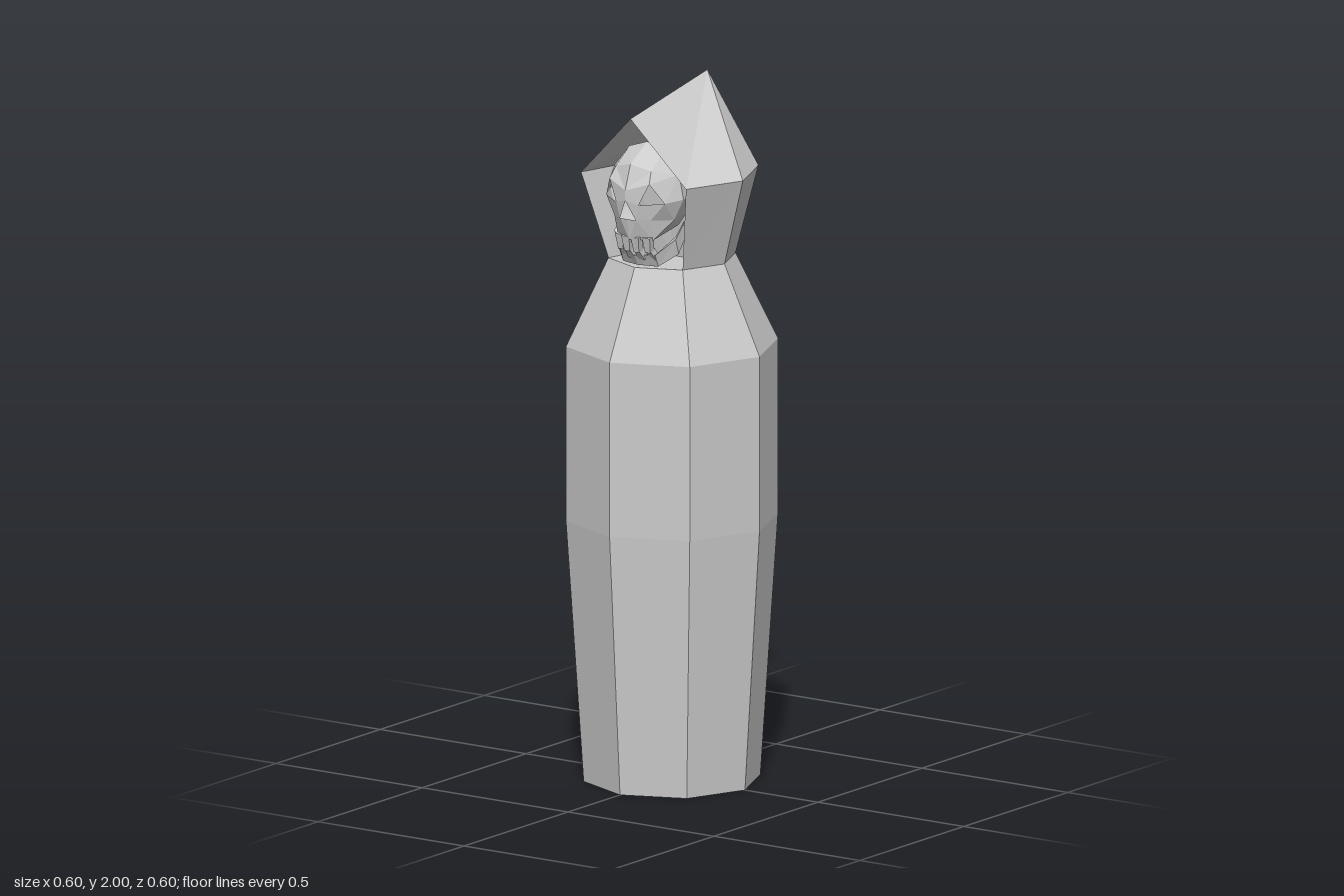
import * as THREE from 'three';

const mat = new THREE.MeshStandardMaterial({ color: 0xcccccc, flatShading: true, side: THREE.DoubleSide });

function part(name, geometry) {
  const mesh = new THREE.Mesh(geometry, mat);
  mesh.name = name;
  return mesh;
}

// Faceted surface from the +x half: faces are fanned, then mirrored to -x
function mirrored(points, faces) {
  const pos = [];
  for (const f of faces) {
    for (let i = 1; i < f.length - 1; i++) {
      const tri = [f[0], f[i], f[i + 1]].map(k => points[k]);
      for (const p of tri) pos.push(...p);
      for (const p of tri.reverse()) pos.push(-p[0], p[1], p[2]);
    }
  }
  const g = new THREE.BufferGeometry();
  g.setAttribute('position', new THREE.Float32BufferAttribute(pos, 3));
  g.computeVertexNormals();
  return g;
}

// Tapered tooth: a four-sided box, narrower at its tip
function tooth(name, x, y, z, w, h, tip, tilt) {
  const g = new THREE.BoxGeometry(w, h, 0.02);
  const p = g.attributes.position;
  for (let i = 0; i < p.count; i++) {
    if (p.getY(i) * tip > 0) p.setX(i, p.getX(i) * 0.65);
  }
  const m = part(name, g);
  m.position.set(x, y, z);
  m.rotation.x = tilt;
  return m;
}

export function createModel() {
  const model = new THREE.Group();
  model.name = 'hoodedFigure';

  // Eight-sided robe, closed below and at the neck
  const profile = [[0, 0], [0.25, 0], [0.3, 0.75], [0.3, 1.25], [0.18, 1.5], [0, 1.5]];
  model.add(part('robe', new THREE.LatheGeometry(profile.map(p => new THREE.Vector2(...p)), 8)));

  // Hood with a backward-leaning peak and an open front
  const hood = {
    F: [0.127, 1.5, 0.127], S: [0.18, 1.5, 0], B: [0.127, 1.5, -0.127], K: [0, 1.5, -0.18],
    f: [0.18, 1.75, 0.185], s: [0.25, 1.75, 0.01], b: [0.175, 1.75, -0.17], k: [0, 1.75, -0.24],
    A: [0, 2, -0.17], P: [0, 1.93, 0.2],
    // Inner wall of the opening
    u: [0.1, 1.5, 0], v: [0.14, 1.75, 0.03], w: [0, 1.86, 0.03], c: [0, 1.5, 0],
  };
  model.add(part('hood', mirrored(hood, ['FSsf', 'SBbs', 'BKkb', 'fsA', 'fAP', 'sbA', 'bkA'])));
  model.add(part('hoodLining', mirrored(hood, ['Ffvu', 'fPwv', 'cuvw'])));

  // Skull mask with open eye sockets and nose
  const skull = new THREE.Group();
  skull.name = 'skull';
  const face = [
    [0, 1.85, 0.12], [0.06, 1.83, 0.12], [0.11, 1.77, 0.12], [0.125, 1.7, 0.12], [0.1, 1.64, 0.13],
    [0, 1.8, 0.2], [0.06, 1.785, 0.185], [0, 1.73, 0.225],
    [0.068, 1.752, 0.205], [0.038, 1.69, 0.215], [0.1, 1.695, 0.175],
    [0, 1.7, 0.225], [0.027, 1.645, 0.212], [0.062, 1.645, 0.19],
    [0.06, 1.585, 0.175], [0, 1.585, 0.205], [0, 1.645, 0.215],
  ];
  const faceTris = [
    [0, 5, 1], [1, 5, 6], [1, 6, 2], [5, 7, 6], [6, 7, 8], [6, 8, 2], [2, 8, 10], [2, 10, 3],
    [7, 11, 9], [7, 9, 8], [11, 12, 9], [9, 12, 13], [9, 13, 10], [10, 13, 4], [10, 4, 3],
    [12, 16, 15], [12, 15, 14], [12, 14, 13], [13, 14, 4],
  ];
  // Sides of the skull run back into the hood
  const rim = [0, 1, 2, 3, 4, 14];
  const back = rim.map(i => [face[i][0] * 0.85, 1.7 + (face[i][1] - 1.7) * 0.85, 0.04]);
  const sides = rim.slice(1).map((r, i) => [rim[i], r, face.length + i + 1, face.length + i]);
  skull.add(part('skullFace', mirrored([...face, ...back], [...faceTris, ...sides])));

  // Lower jaw: a solid U-shaped band swept from chin to hinge
  const jaw = [];
  for (const [x, y, z, h] of [[0, 1.505, 0.165, 0.03], [0.06, 1.505, 0.15, 0.035], [0.105, 1.54, 0.115, 0.045], [0.1, 1.59, 0.07, 0.03]]) {
    jaw.push([x, y, z], [x, y + h, z + 0.015], [x * 0.8, y + h, z - 0.015], [x * 0.8, y, z - 0.02]);
  }
  const jawFaces = [[12, 15, 14, 13]];
  for (let i = 0; i < 3; i++) {
    for (let j = 0; j < 4; j++) {
      const a = i * 4 + j, b = i * 4 + (j + 1) % 4;
      jawFaces.push([a, a + 4, b + 4, b]);
    }
  }
  skull.add(part('lowerJaw', mirrored(jaw, jawFaces)));

  // Two rows of teeth
  for (const x of [-0.046, -0.016, 0.016, 0.046]) {
    const bow = Math.abs(x) * 0.4;
    skull.add(tooth('upperTooth', x, 1.572, 0.195 - bow, 0.027, 0.045, -1, 0.2));
    skull.add(tooth('lowerTooth', x, 1.542, 0.178 - bow, 0.025, 0.03, 1, 0.6));
  }
  model.add(skull);
  return model;
}
